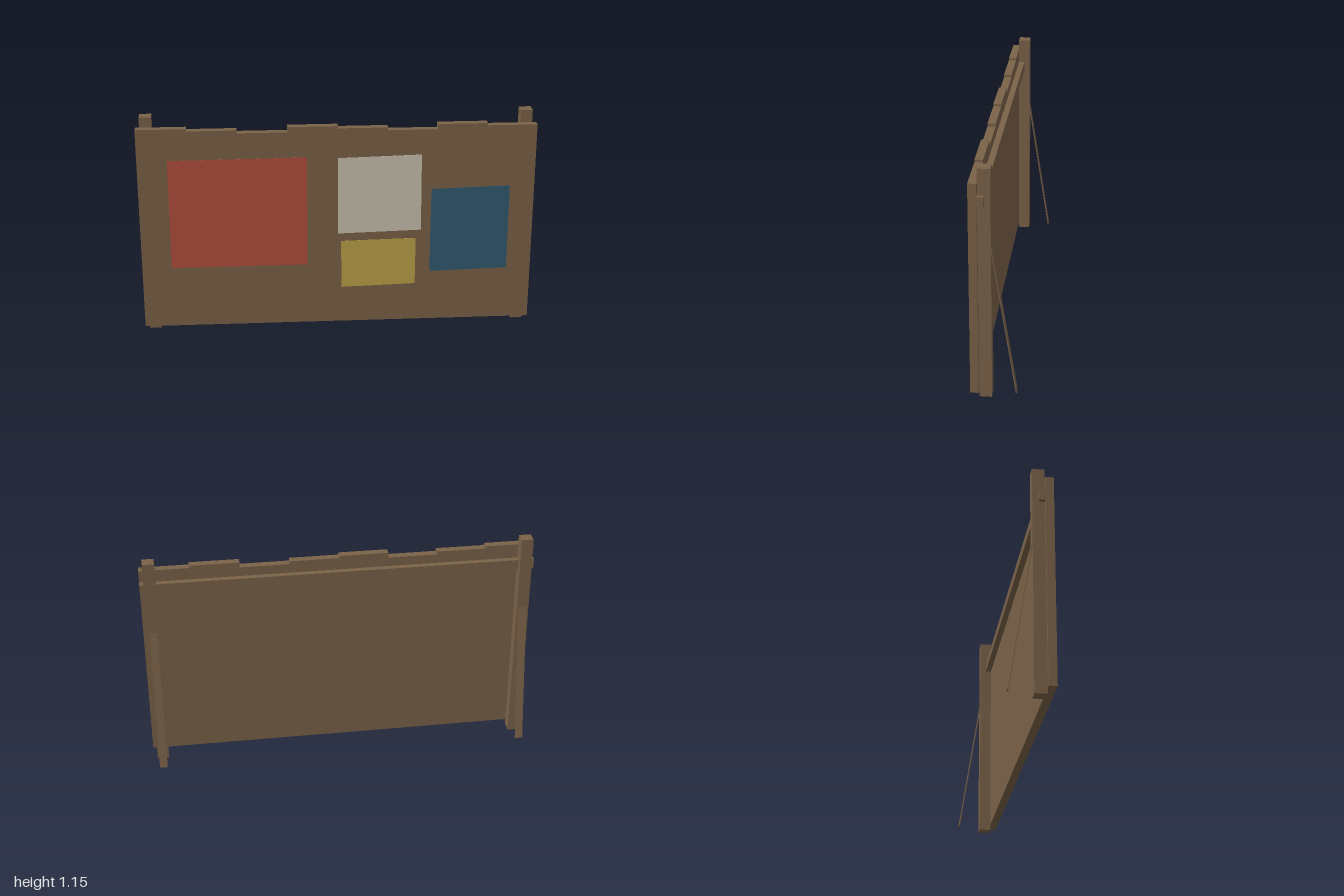
import * as THREE from 'three';

export function createModel() {
  const model = new THREE.Group();
  model.name = 'billboard';

  const material = (name, color) => {
    const m = new THREE.MeshStandardMaterial({ color });
    m.name = name;
    return m;
  };
  const wood = material('wood', 0x7a6248);
  const red = material('red', 0xb24d3a);
  const cream = material('cream', 0xc9c1ae);
  const yellow = material('yellow', 0xbba047);
  const blue = material('blue', 0x32596f);

  const add = (name, geometry, mat) => {
    const mesh = new THREE.Mesh(geometry, mat);
    mesh.name = name;
    model.add(mesh);
    return mesh;
  };
  // Flat slab cut from an outline, running from z to z + depth
  const slab = (name, points, z, depth, mat) => {
    const shape = new THREE.Shape(points.map(([x, y]) => new THREE.Vector2(x, y)));
    const geometry = new THREE.ExtrudeGeometry(shape, { depth, bevelEnabled: false });
    geometry.translate(0, 0, z);
    return add(name, geometry, mat);
  };

  // Board with eight planks of uneven height along its top edge
  const outline = [[-1, 0.03], [1, 0.03]];
  const tops = [1.1, 1.088, 1.073];
  for (let i = 7; i >= 0; i--) {
    const x = -1 + i * 0.25;
    outline.push([x + 0.25, tops[i % 3]], [x, tops[i % 3]]);
  }
  slab('board', outline, 0.065, 0.04, wood);

  // Rail behind the top of the board
  add('rail', new THREE.BoxGeometry(2, 0.05, 0.03), wood).position.set(0, 1, 0.05);

  // Posts and leaning braces, mirrored
  const top = new THREE.Vector2(0.007, 0.765);
  const foot = new THREE.Vector2(-0.108, 0.022);
  for (const side of [-1, 1]) {
    const label = side > 0 ? 'left' : 'right';
    add(label + 'Post', new THREE.BoxGeometry(0.06, 1.152, 0.06), wood)
      .position.set(side * 0.95, 0.576, 0.035);
    const brace = add(label + 'Brace', new THREE.BoxGeometry(0.04, top.distanceTo(foot), 0.005), wood);
    brace.position.set(side * 0.95, (top.y + foot.y) / 2, (top.x + foot.x) / 2);
    brace.rotation.x = Math.atan2(top.x - foot.x, top.y - foot.y);
  }

  // Pasted posters, slightly crooked
  const posters = [
    ['redPoster', red, [[-0.85, 0.357], [-0.155, 0.357], [-0.155, 0.94], [-0.85, 0.936]]],
    ['creamPoster', cream, [[0, 0.525], [0.426, 0.535], [0.422, 0.942], [0, 0.932]]],
    ['yellowPoster', yellow, [[0.02, 0.225], [0.4, 0.235], [0.4, 0.49], [0.016, 0.483]]],
    ['bluePoster', blue, [[0.475, 0.302], [0.875, 0.312], [0.875, 0.766], [0.475, 0.756]]],
  ];
  for (const [name, mat, points] of posters) slab(name, points, 0.1045, 0.002, mat);

  return model;
}
